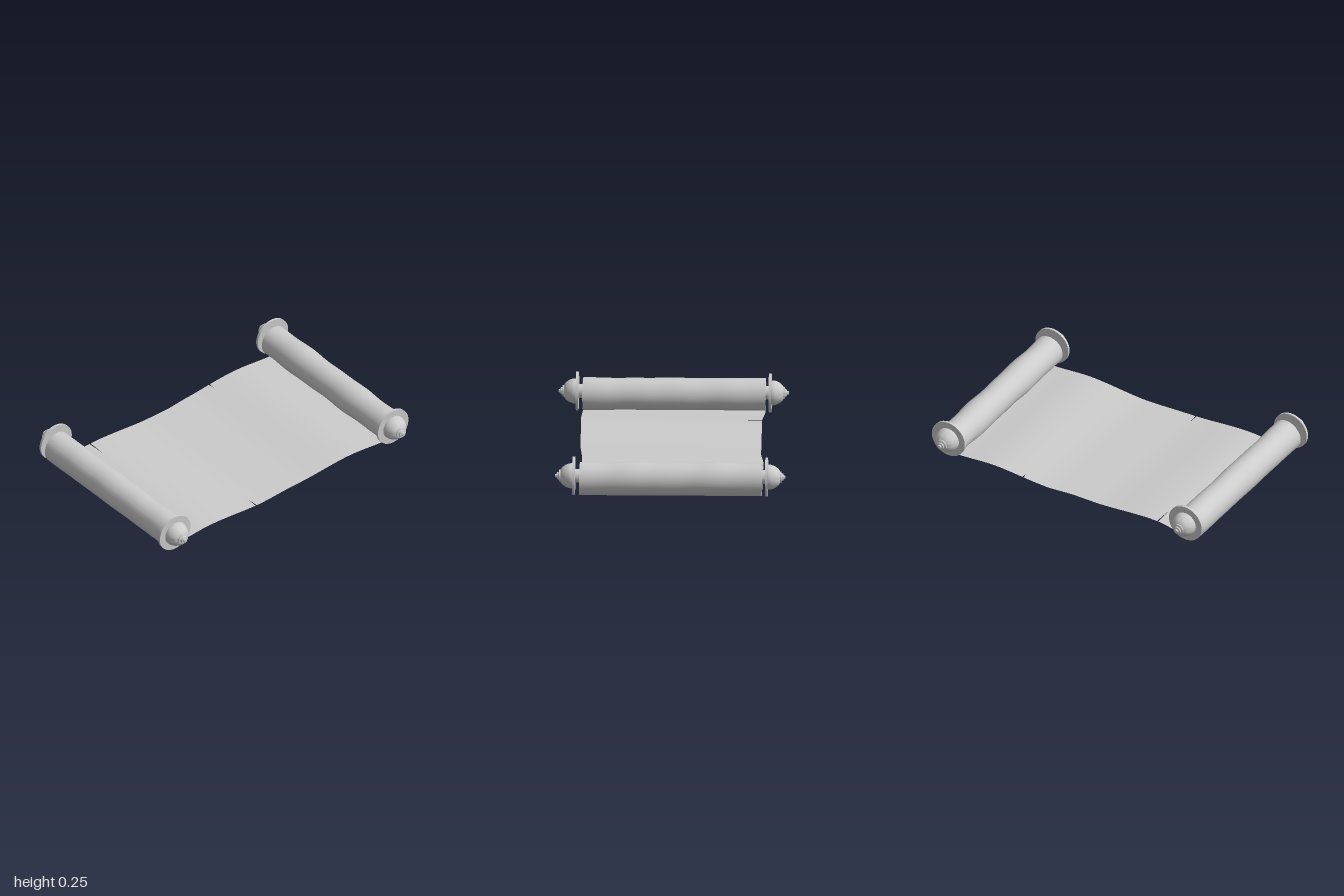
import * as THREE from 'three';
import { toCreasedNormals } from 'three/addons/utils/BufferGeometryUtils.js';

const material = new THREE.MeshStandardMaterial({ color: 0xcccccc });
const paperMaterial = new THREE.MeshStandardMaterial({ color: 0xcccccc, side: THREE.DoubleSide });

const ROLL_Z = 0.867, ROLL_Y = 0.118, ROLL_R = 0.106, TURNS = 1.7;

function spline(points) {
  return new THREE.SplineCurve(points.map(([a, b]) => new THREE.Vector2(a, b)));
}

// Value of a smooth curve through [z, value] points
function sample(points, z) {
  let i = 0;
  while (i < points.length - 2 && z > points[i + 1][0]) i++;
  const [z0, v0] = points[i], [z1, v1] = points[i + 1];
  return THREE.MathUtils.lerp(v0, v1, THREE.MathUtils.smoothstep(z, z0, z1));
}

const HEIGHT = [[-0.867, 0.012], [-0.56, 0.031], [-0.14, 0.005], [0.14, 0.005], [0.58, 0.031], [0.867, 0.012]];
const LEFT_EDGE = [[-0.867, -0.57], [-0.36, -0.573], [-0.2, -0.57], [0.02, -0.553], [0.6, -0.552], [0.867, -0.57]];
const RIGHT_EDGE = [[-0.867, 0.562], [-0.15, 0.556], [0.2, 0.571], [0.7, 0.573], [0.867, 0.565]];

// Edge tears: position, depth on the -x side, depth on the +x side
const TEARS = [[-0.355, 0.045, 0], [0.2, 0, 0.08], [0.617, 0.13, 0]];
const ROLL_TEAR = { angle: 2.24, depth: 0.06 };

// Rows running along the sheet: each gives its two edges and a point for any x
function flatRows() {
  const stops = [];
  for (let i = 0; i <= 70; i++) stops.push({ z: -ROLL_Z + (2 * ROLL_Z * i) / 70, l: 0, r: 0 });
  for (const [z, l, r] of TEARS) {
    for (let i = stops.length - 1; i >= 0; i--) if (Math.abs(stops[i].z - z) < 0.008) stops.splice(i, 1);
    stops.push({ z: z - 0.004, l: 0, r: 0 }, { z, l, r }, { z: z + 0.004, l: 0, r: 0 });
  }
  stops.sort((a, b) => a.z - b.z);
  return stops.map(({ z, l, r }) => ({
    left: sample(LEFT_EDGE, z) + l,
    right: sample(RIGHT_EDGE, z) - r,
    at: () => [sample(HEIGHT, z), z],
  }));
}

// Spiral rows wound up around a rod, from the sheet inwards
function rollRows(side) {
  const end = TURNS * Math.PI * 2, angles = [];
  for (let i = 1; i <= 90; i++) angles.push((end * i) / 90);
  if (side > 0) {
    const t = ROLL_TEAR.angle;
    angles.push(t - 0.03, t, t + 0.03);
    angles.sort((a, b) => a - b);
  }
  const z0 = side * ROLL_Z;
  return angles.map((angle) => ({
    left: sample(LEFT_EDGE, z0) + 0.003 * Math.sin(angle * 1.3),
    right: sample(RIGHT_EDGE, z0) + 0.003 * Math.sin(angle * 1.7)
      - (side > 0 && angle === ROLL_TEAR.angle ? ROLL_TEAR.depth : 0),
    at: (x) => {
      const wave = Math.sin(x * 13 + side) * 0.6 + Math.sin(x * 23 + angle * 0.7) * 0.4;
      const ramp = Math.min(1, angle / 1.5);
      const r = ROLL_R - 0.0012 * angle + (side > 0 ? 0.0022 : 0.004) * wave * ramp;
      return [ROLL_Y - r * Math.cos(angle), z0 + side * 0.95 * r * Math.sin(angle)];
    },
  }));
}

function buildPaper() {
  const rows = [...rollRows(-1).reverse(), ...flatRows(), ...rollRows(1)];
  const columns = 48, positions = [], index = [];
  rows.forEach((row, j) => {
    for (let i = 0; i <= columns; i++) {
      const x = THREE.MathUtils.lerp(row.left, row.right, i / columns);
      const [y, z] = row.at(x);
      positions.push(x, y, z);
      if (j && i) {
        const d = j * (columns + 1) + i, c = d - 1, b = d - columns - 1, a = b - 1;
        index.push(a, c, b, b, c, d);
      }
    }
  });
  const geometry = new THREE.BufferGeometry();
  geometry.setAttribute('position', new THREE.Float32BufferAttribute(positions, 3));
  geometry.setIndex(index);
  geometry.computeVertexNormals();
  const paper = new THREE.Mesh(geometry, paperMaterial);
  paper.name = 'paper';
  return paper;
}

// Domed finial with a stepped tip, turned about the rod axis
function knobGeometry() {
  const profile = [[0, 0.6], [0.074, 0.6]];
  const dome = spline([[0.078, 0.607], [0.077, 0.625], [0.068, 0.65], [0.052, 0.672], [0.037, 0.682]]);
  for (const p of dome.getPoints(12)) profile.push([p.x, p.y]);
  profile.push([0.037, 0.69], [0.024, 0.693], [0.022, 0.702], [0.013, 0.704], [0.011, 0.714], [0, 0.717]);
  const lathe = new THREE.LatheGeometry(profile.map(([r, h]) => new THREE.Vector2(r, h)), 40);
  return toCreasedNormals(lathe, 0.6);
}

function buildRod(name, z, yaw) {
  const group = new THREE.Group();
  group.name = name;
  const add = (partName, geometry, parent) => {
    const mesh = new THREE.Mesh(geometry, material);
    mesh.name = partName;
    parent.add(mesh);
    return mesh;
  };
  add('rod', new THREE.CylinderGeometry(0.043, 0.043, 1.19, 32), group).rotation.z = Math.PI / 2;
  for (const side of [-1, 1]) {
    const end = new THREE.Group();
    end.name = side > 0 ? 'leftEnd' : 'rightEnd';
    end.rotation.z = (-side * Math.PI) / 2;
    add('disc', new THREE.CylinderGeometry(0.121, 0.121, 0.016, 48), end).position.y = 0.599;
    add('knob', knobGeometry(), end);
    group.add(end);
  }
  group.position.set(0, 0.134, z);
  group.rotation.y = yaw;
  return group;
}

export function createModel() {
  const model = new THREE.Group();
  model.name = 'scroll';
  model.add(
    buildPaper(),
    buildRod('frontRod', 0.866, -0.02),
    buildRod('backRod', -0.873, -0.01),
  );
  return model;
}
